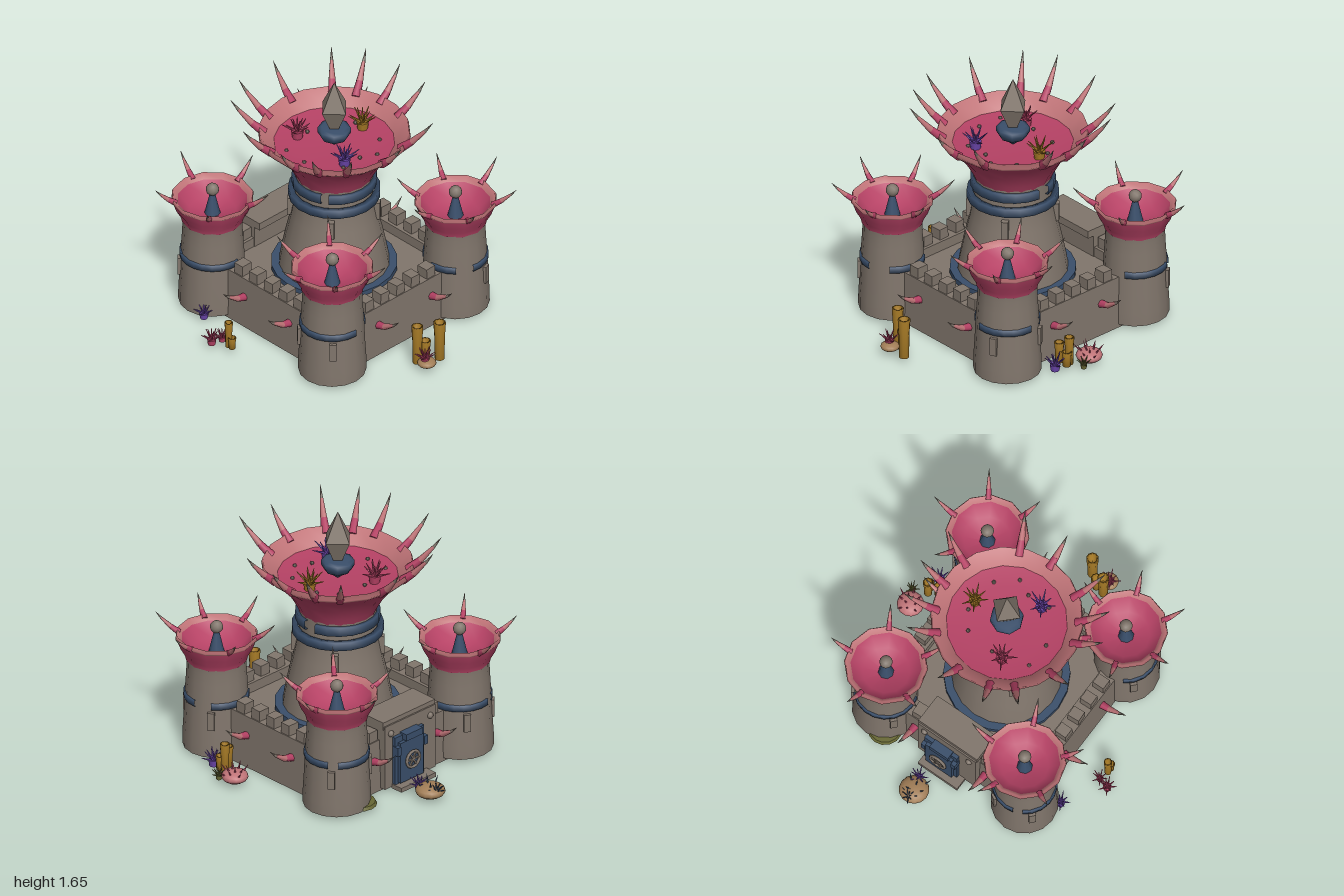
import * as THREE from 'three';

const mat = (name, color, side = THREE.DoubleSide) => {
  const m = new THREE.MeshStandardMaterial({ color, side });
  m.name = name;
  return m;
};
const V = (x, y, z) => new THREE.Vector3(x, y, z);

export function createModel() {
  const stone = mat('stone', 0x81766c), pink = mat('coral pink', 0xb64265), pale = mat('pale coral', 0xc07478);
  const navy = mat('navy metal', 0x3a4f6b), gold = mat('golden sponge', 0xa67a26), purple = mat('purple', 0x6c46ac);
  const sand = mat('sand shell', 0xa27e57), moss = mat('moss', 0x686834);
  const root = new THREE.Group();
  root.name = 'reefCastle';

  let seed = 7;
  const rnd = () => (seed = (seed * 16807) % 2147483647) / 2147483647;

  const add = (parent, name, geo, m, x = 0, y = 0, z = 0) => {
    const mesh = new THREE.Mesh(geo, m);
    mesh.name = name;
    mesh.position.set(x, y, z);
    parent.add(mesh);
    return mesh;
  };
  const group = (parent, name, x = 0, y = 0, z = 0) => {
    const g = new THREE.Group();
    g.name = name;
    g.position.set(x, y, z);
    parent.add(g);
    return g;
  };
  const box = (parent, name, m, w, h, d, x, y, z) => add(parent, name, new THREE.BoxGeometry(w, h, d), m, x, y, z);
  const lathe = (parent, name, m, pts, n = 16, start = 0, len = Math.PI * 2) =>
    add(parent, name, new THREE.LatheGeometry(pts.map(p => new THREE.Vector2(...p)), n, start, len), m);
  // Flat metal hoop, or a piece of one
  const band = (parent, r, y, h, start, len) =>
    lathe(parent, 'metalBand', navy, [[r - 0.035, y], [r, y], [r, y + h], [r - 0.035, y + h], [r - 0.035, y]],
      Math.ceil(len * 3), start, len);

  // Tapered rod between two points
  const rod = (parent, name, m, a, b, r0, r1, n = 6) => {
    const d = b.clone().sub(a);
    const mesh = add(parent, name, new THREE.CylinderGeometry(r1, r0, d.length(), n), m);
    mesh.position.copy(a).addScaledVector(d, 0.5);
    mesh.quaternion.setFromUnitVectors(V(0, 1, 0), d.normalize());
  };
  // Curved thorn that changes colour towards the tip
  const thorn = (parent, a, mid, b, r) => {
    const curve = new THREE.QuadraticBezierCurve3(a, mid, b);
    const g = group(parent, 'thorn');
    const t = [0, 0.35, 0.75, 1], rr = [r, r * 0.75, r * 0.36, 0.001];
    [pink, pale, stone].forEach((m, i) =>
      rod(g, 'thornSegment', m, curve.getPoint(t[i]), curve.getPoint(t[i + 1]), rr[i], rr[i + 1], 7));
  };
  // Thorns around a cup rim at the given angles
  const thornRing = (parent, angles, r, y, out, up, size) => {
    for (const a of angles) {
      const s = 0.9 + rnd() * 0.2;
      const at = (rad, h) => V(Math.sin(a) * rad, h, Math.cos(a) * rad);
      thorn(parent, at(r, y), at(r + out * 0.55 * s, y + up * 0.38 * s), at(r + out * s, y + up * s), size);
    }
  };

  // Central keep
  const keep = group(root, 'keep', 0.015, 0, 0);
  lathe(keep, 'keepWall', stone, [[0.39, 0.03], [0.365, 0.2], [0.335, 0.4], [0.305, 0.55], [0.27, 0.7], [0.245, 0.84], [0.245, 1]], 20);
  add(keep, 'keepFloor', new THREE.CylinderGeometry(0.395, 0.395, 0.035, 20), navy, 0, 0.315, 0);
  band(keep, 0.288, 0.835, 0.055, 0, Math.PI * 2);
  band(keep, 0.266, 0.925, 0.06, -0.9, 2.4);
  band(keep, 0.266, 0.925, 0.06, 1.8, 3.4);
  lathe(keep, 'keepCupOutside', pink, [[0.24, 0.985], [0.265, 1.04], [0.31, 1.12], [0.375, 1.2], [0.46, 1.27]], 18);
  lathe(keep, 'keepCupRim', pale, [[0.46, 1.27], [0.478, 1.29], [0.468, 1.32], [0.378, 1.225]], 18);
  lathe(keep, 'keepCupFloor', pink, [[0.378, 1.225], [0.25, 1.205], [0.0, 1.2]], 18);
  thornRing(keep, [-0.03, 0.45, 1.25, 1.66, 2.06, 2.4, 3.02, 3.53, 3.88, 4.42, 4.97, 5.3, 5.68], 0.435, 1.275, 0.2, 0.22, 0.03);
  for (const a of [-0.85, 0.65, 2.3, 3.9]) {
    box(keep, 'keepWindow', stone, 0.045, 0.12, 0.05, Math.sin(a) * 0.265, 0.74, Math.cos(a) * 0.265).rotation.y = a;
  }

  // Four-sided crystal finial on its metal dish
  lathe(keep, 'crystalDish', navy, [[0, 1.2], [0.045, 1.235], [0.085, 1.26], [0.105, 1.295], [0.105, 1.325], [0.08, 1.335], [0, 1.335]], 8);
  const facet = (name, rTop, rBottom, h, y) => {
    const g = new THREE.CylinderGeometry(rTop, rBottom, h, 4).toNonIndexed();
    g.computeVertexNormals();
    add(keep, name, g, stone, 0, y, 0);
  };
  facet('crystalTop', 0.001, 0.104, 0.19, 1.57);
  facet('crystalBottom', 0.104, 0.03, 0.16, 1.395);
  for (let i = 0; i < 9; i++) {
    const a = i * 2.4, r = 0.2 + 0.12 * rnd();
    add(keep, 'pebble', new THREE.IcosahedronGeometry(0.014), stone, Math.sin(a) * r, 1.215, Math.cos(a) * r);
  }

  // Corner towers: x, z, thorn count, first thorn angle, band pieces, window angles
  const towers = [
    [-0.515, 0.53, 6, 0.35, [[-2.6, 2.65], [0.75, 1.5]], [-0.75, 4]],
    [0.55, 0.53, 6, 0.6, [[-1.6, 0.85], [-0.2, 1.85], [2.2, 1.8]], [0.4, 2.2]],
    [0.55, -0.54, 5, 0.55, [[0.5, 1.6], [2.4, 2.6]], [2.2, 4]],
    [-0.515, -0.54, 5, 0.4, [[1.6, 1.8], [3.7, 2.7]], [4, 2.6]],
  ];
  for (const [x, z, n, first, pieces, windows] of towers) {
    const t = group(root, 'cornerTower', x, 0, z);
    lathe(t, 'towerWall', stone, [[0.213, 0.035], [0.212, 0.12], [0.204, 0.25], [0.198, 0.4], [0.19, 0.52], [0.186, 0.6], [0.188, 0.64]], 16);
    for (const [start, len] of pieces) band(t, 0.206, 0.368, 0.042, start, len);
    lathe(t, 'towerCupOutside', pink, [[0.193, 0.635], [0.202, 0.67], [0.23, 0.72], [0.25, 0.775]], 12);
    lathe(t, 'towerCupRim', pale, [[0.25, 0.775], [0.262, 0.79], [0.252, 0.81], [0.222, 0.775]], 12);
    lathe(t, 'towerCupBowl', pink, [[0.222, 0.775], [0.15, 0.695], [0, 0.665]], 12);
    thornRing(t, Array.from({ length: n }, (_, i) => first + i * Math.PI * 2 / n), 0.235, 0.785, 0.14, 0.12, 0.021);
    add(t, 'finialCone', new THREE.CylinderGeometry(0.015, 0.05, 0.15, 8), navy, 0, 0.75, 0);
    add(t, 'finialBall', new THREE.IcosahedronGeometry(0.042, 1), stone, 0, 0.85, 0);
    for (const a of windows) {
      box(t, 'towerWindow', stone, 0.045, 0.12, 0.03, Math.sin(a) * 0.202, 0.29, Math.cos(a) * 0.202).rotation.y = a;
    }
  }
  // Moss under two of the towers
  for (const [x, z] of [[0.55, 0.51], [0.47, -0.66]]) {
    add(root, 'mossPatch', new THREE.CylinderGeometry(0.1, 0.11, 0.02, 14), moss, x, 0.045, z);
  }

  // Curtain walls, hollow underneath: local +z points outwards
  const sides = [[0.015, 0.545, 0], [0.555, 0, Math.PI / 2], [0.015, -0.54, Math.PI], [-0.513, 0, -Math.PI / 2]];
  sides.forEach(([x, z, ry], k) => {
    const w = group(root, 'curtainWall', x, 0, z);
    w.rotation.y = ry;
    const profile = [[-0.055, 0.02], [-0.045, 0.02], [-0.045, 0.35], [0.04, 0.35], [0.052, 0.012], [0.062, 0.012], [0.052, 0.365], [-0.055, 0.365]];
    const s = new THREE.Shape(profile.map(p => new THREE.Vector2(...p)));
    const g = new THREE.ExtrudeGeometry(s, { depth: 0.8, bevelEnabled: false });
    add(w, 'wallBody', g.translate(0, 0, -0.4).rotateY(-Math.PI / 2), stone);
    for (let i = -2; i <= 2; i++) {
      if (k === 2 && Math.abs(i) < 2) continue;
      const m = box(w, 'merlon', stone, 0.072, 0.08, 0.08, i * 0.132, 0.397, 0.005);
      m.rotation.set(0, (rnd() - 0.5) * 0.15, (rnd() - 0.5) * 0.12);
    }
    for (const sx of [-1, 1]) {
      const px = sx * (k === 2 ? 0.27 : 0.2) + (k === 0 && sx > 0 ? 0.06 : 0);
      thorn(w, V(px, 0.23, 0.04), V(px, 0.235, 0.14), V(px, 0.34, 0.24), 0.028);
    }
  });

  // Courtyard floor around the keep
  const yard = new THREE.Shape([[-0.48, -0.5], [0.52, -0.5], [0.52, 0.5], [-0.48, 0.5]].map(p => new THREE.Vector2(...p)));
  yard.holes.push(new THREE.Path().absarc(0.015, 0, 0.34, 0, Math.PI * 2, true));
  add(root, 'courtyard', new THREE.ExtrudeGeometry(yard, { depth: 0.02, bevelEnabled: false, curveSegments: 20 }).rotateX(-Math.PI / 2), stone, 0, 0.28, 0);

  // Gatehouse and vault door at the back
  const gate = group(root, 'gatehouse', 0.01, 0, -0.55);
  box(gate, 'gateBlock', stone, 0.44, 0.44, 0.16, 0, 0.25, -0.01);
  box(gate, 'gateParapet', stone, 0.45, 0.05, 0.2, 0, 0.475, 0.02);
  box(gate, 'doorFrame', navy, 0.25, 0.34, 0.03, 0.03, 0.21, -0.1);
  box(gate, 'doorPanel', navy, 0.2, 0.28, 0.035, 0.03, 0.2, -0.12);
  box(gate, 'doorLintel', navy, 0.14, 0.045, 0.06, 0.02, 0.37, -0.12);
  box(gate, 'doorStep', stone, 0.3, 0.03, 0.09, 0.01, 0.035, -0.13);
  for (const sx of [-1, 1]) {
    box(gate, 'doorHinge', navy, 0.03, 0.06, 0.05, 0.03 + sx * 0.115, 0.29, -0.12);
    add(gate, 'gateStud', new THREE.IcosahedronGeometry(0.022, 1), stone, sx * 0.17, 0.41, -0.09);
  }
  const wheel = group(gate, 'doorWheel', 0.03, 0.2, -0.147);
  add(wheel, 'wheelRim', new THREE.TorusGeometry(0.055, 0.01, 6, 16), stone);
  for (let i = 0; i < 3; i++) box(wheel, 'wheelSpoke', stone, 0.11, 0.01, 0.01, 0, 0, 0).rotation.z = i * Math.PI / 3;

  // Anemone: short stalk with a burst of tentacles
  const anemone = (x, y, z, m, s = 1) => {
    const g = group(root, 'anemone', x, y, z);
    add(g, 'stalk', new THREE.CylinderGeometry(0.03 * s, 0.025 * s, 0.04 * s, 8), m, 0, 0.02 * s, 0);
    for (let i = 0; i < 13; i++) {
      const a = i * 2.4, tilt = 0.25 + (i / 13) * 1.05, l = s * (0.07 + 0.02 * rnd());
      const d = V(Math.sin(a) * Math.sin(tilt), Math.cos(tilt), Math.cos(a) * Math.sin(tilt));
      const c = V(0, 0.03 * s, 0);
      rod(g, 'tentacle', m, c.clone().addScaledVector(d, 0.01), c.clone().addScaledVector(d, l), 0.008 * s, 0.002, 5);
    }
  };
  // Hollow-topped tube sponge
  const tube = (x, z, h, r) => lathe(root, 'tubeSponge', gold,
    [[0, 0], [r * 0.85, 0], [r * 0.9, h * 0.6], [r * 1.08, h], [r * 0.75, h], [r * 0.6, h - 0.05], [0, h - 0.05]], 10).position.set(x, 0.04, z);
  // Low shell dome with short spines
  const dome = (x, z, r, h, m, spineMat, n) => {
    const g = group(root, 'shellDome', x, 0.07, z);
    add(g, 'shell', new THREE.SphereGeometry(r, 14, 8), m).scale.y = h / r;
    for (let i = 0; i < n; i++) {
      const a = i * 2.4, t = 0.25 + 0.9 * i / n;
      const p = V(Math.sin(a) * Math.sin(t) * r, Math.cos(t) * h, Math.cos(a) * Math.sin(t) * r);
      const d = p.clone().setY(p.y + 0.05).normalize();
      rod(g, 'spine', spineMat, p, p.clone().addScaledVector(d, 0.045), 0.006, 0.001, 5);
    }
  };

  // Reef growth inside the great cup
  anemone(-0.1, 1.205, -0.21, pink, 1.3);
  anemone(0.26, 1.205, 0, gold, 1.3);
  anemone(-0.1, 1.205, 0.21, purple, 1.3);

  // Front reef patch
  tube(-0.1, 0.86, 0.27, 0.035);
  tube(-0.04, 0.87, 0.14, 0.033);
  tube(0.03, 0.925, 0.27, 0.037);
  dome(-0.09, 0.935, 0.06, 0.028, sand, pink, 0);
  anemone(-0.1, 0.07, 0.93, pink, 0.95);

  // Right, back and left reef patches
  dome(0.82, 0.09, 0.085, 0.042, pale, pink, 12);
  [[0.72, 0.25, 0.14], [0.78, 0.22, 0.19], [0.79, 0.25, 0.1]].forEach(([x, z, h]) => tube(x, z, h, 0.03));
  anemone(0.77, 0.03, 0.33, purple, 1.1);
  anemone(0.87, 0.03, 0.18, moss, 0.7);
  dome(0.08, -0.89, 0.095, 0.045, sand, navy, 6);
  anemone(0.08, 0.06, -0.95, navy, 0.7);
  anemone(0.1, 0.05, -0.81, purple, 0.9);
  anemone(-0.88, 0.04, -0.17, pink, 0.95);
  anemone(-0.81, 0.04, -0.15, pink, 0.75);
  tube(-0.82, -0.08, 0.18, 0.025);
  tube(-0.82, -0.05, 0.08, 0.025);
  anemone(-0.705, 0.03, -0.42, purple, 0.95);
  anemone(-0.5, 0.04, 0.47, pink, 0.8);
  return root;
}
